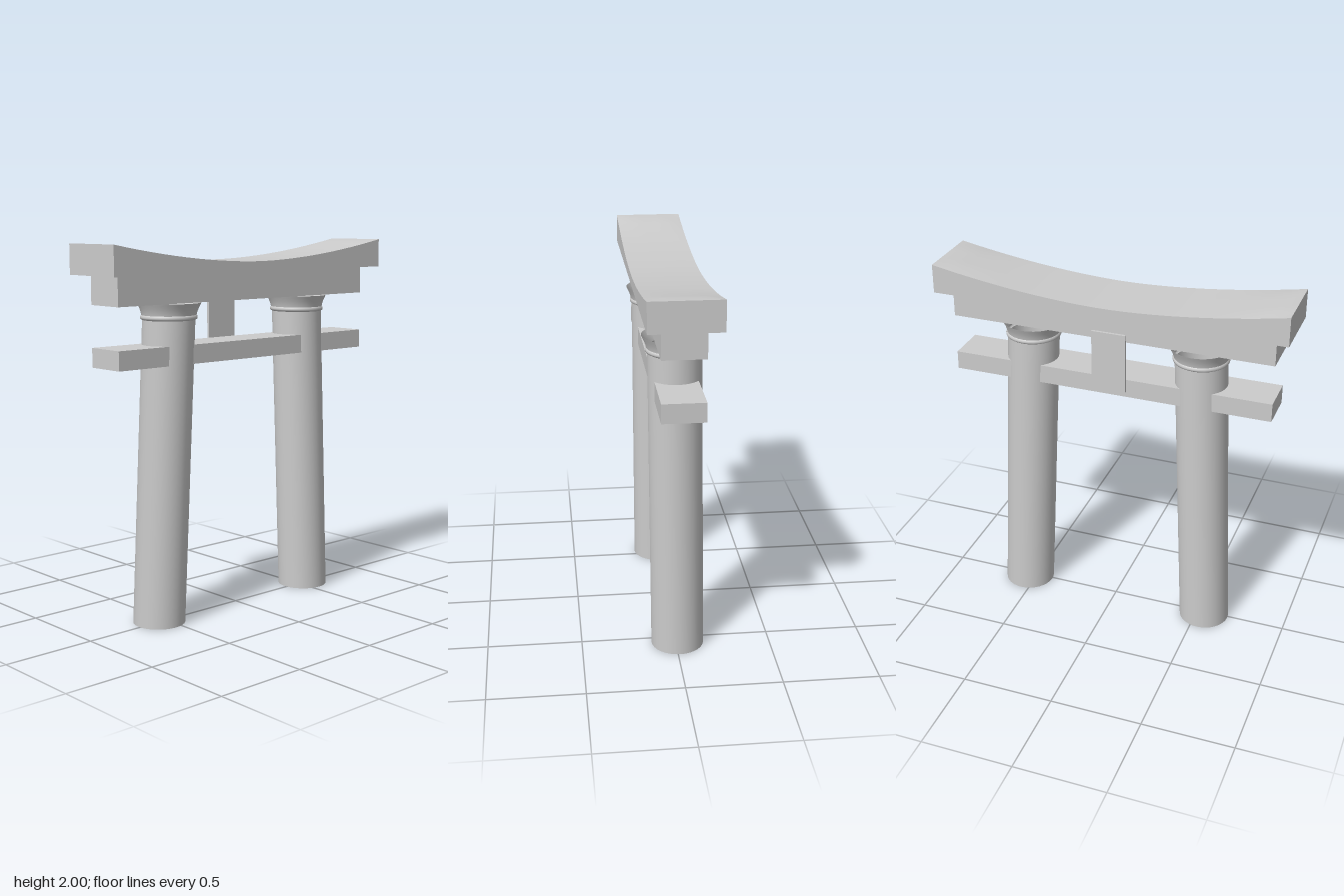
import * as THREE from 'three';

const grey = new THREE.MeshStandardMaterial({ color: 0xcccccc });
const greyOpen = new THREE.MeshStandardMaterial({ color: 0xcccccc, side: THREE.DoubleSide });

// Box given by its lower and upper limits
function beam(name, [x0, y0, z0], [x1, y1, z1]) {
  const mesh = new THREE.Mesh(new THREE.BoxGeometry(x1 - x0, y1 - y0, z1 - z0), grey);
  mesh.position.set((x0 + x1) / 2, (y0 + y1) / 2, (z0 + z1) / 2);
  mesh.name = name;
  return mesh;
}

// Round part whose horizontal sections shift with height, so the leaning pillar stands flat
function leaningLathe(name, profile, side) {
  const geo = new THREE.LatheGeometry(profile.map(([r, y]) => new THREE.Vector2(r, y)), 32);
  const pos = geo.attributes.position;
  for (let i = 0; i < pos.count; i++) {
    const t = pos.getY(i) / 1.7;
    pos.setX(i, pos.getX(i) + side * (0.542 - 0.08 * t));
    pos.setZ(i, pos.getZ(i) - 0.01 + 0.01 * t);
  }
  const mesh = new THREE.Mesh(geo, greyOpen);
  mesh.name = name;
  return mesh;
}

// Top lintel: upswept ends, with a shallow raised panel near each end
function topLintel() {
  const bottom = 1.845, halfX = 0.95, halfZ = 0.182;
  const geo = new THREE.BoxGeometry(halfX * 2, 0.1, halfZ * 2, 25, 1, 5);
  const pos = geo.attributes.position;
  const clamp = (v) => THREE.MathUtils.clamp(v, 0, 1);
  for (let i = 0; i < pos.count; i++) {
    const x = Math.abs(pos.getX(i)), z = Math.abs(pos.getZ(i));
    if (pos.getY(i) < 0) {
      pos.setY(i, bottom);
      continue;
    }
    const sweep = 1.898 + 0.102 * Math.pow(x / halfX, 1.8);
    const panel = 0.009 * clamp((halfX - x) / 0.075) * clamp((halfZ - z) / 0.07) * clamp((x - 0.53) / 0.34);
    pos.setY(i, sweep + panel);
  }
  geo.computeVertexNormals();
  const mesh = new THREE.Mesh(geo, grey);
  mesh.name = 'topLintel';
  return mesh;
}

export function createModel() {
  const gate = new THREE.Group();
  gate.name = 'gate';

  gate.add(topLintel());
  gate.add(beam('secondLintel', [-0.875, 1.695, -0.11], [0.875, 1.845, 0.11]));
  gate.add(beam('tieBeam', [-0.875, 1.38, -0.11], [0.875, 1.48, 0.11]));
  gate.add(beam('plaque', [-0.095, 1.41, -0.124], [0.091, 1.737, -0.11]));

  // Mirrored pillars, each with a small collar and a flared capital
  for (const side of [1, -1]) {
    const pillar = new THREE.Group();
    pillar.name = side > 0 ? 'leftPillar' : 'rightPillar';
    pillar.add(leaningLathe('shaft', [[0.139, 0], [0.138, 1.61]], side));
    pillar.add(leaningLathe('collar', [[0.138, 1.607], [0.147, 1.612], [0.149, 1.62], [0.147, 1.628], [0.143, 1.632]], side));
    pillar.add(leaningLathe('capital', [[0.143, 1.632], [0.146, 1.645], [0.153, 1.665], [0.162, 1.684], [0.167, 1.695]], side));
    gate.add(pillar);
  }
  return gate;
}
